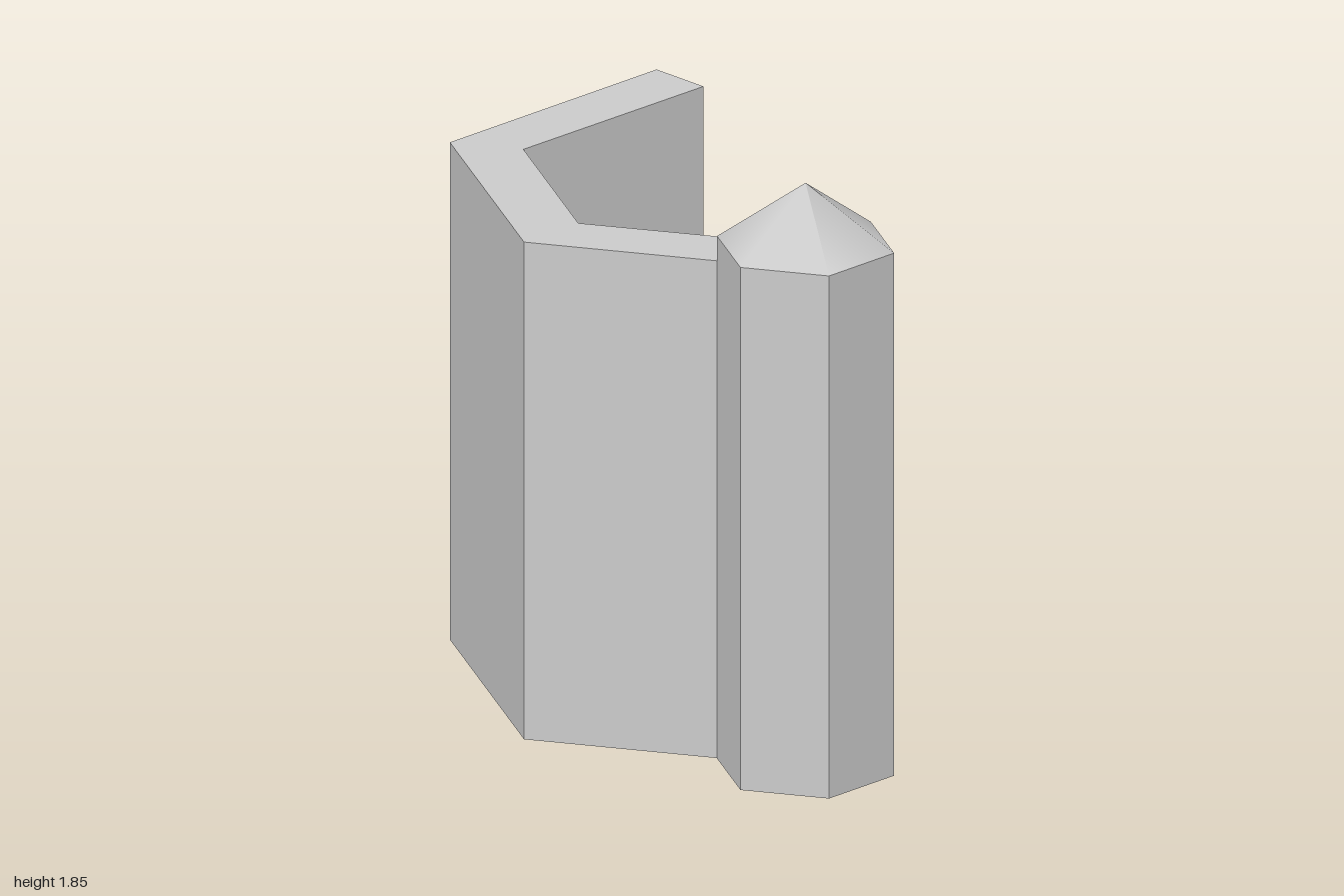
import * as THREE from 'three';

export function createModel() {
  const model = new THREE.Group();
  const material = new THREE.MeshStandardMaterial({ color: 0xcccccc, side: THREE.DoubleSide });
  const flat = new THREE.MeshStandardMaterial({ color: 0xcccccc, side: THREE.DoubleSide, flatShading: true });

  const add = (parent, name, geometry, mat, x = 0, y = 0, z = 0) => {
    const mesh = new THREE.Mesh(geometry, mat);
    mesh.name = name;
    mesh.position.set(x, y, z);
    parent.add(mesh);
  };

  // Bent wall: a shell with a lid and no floor; outline in x, z
  const wallHeight = 1.57, midZ = -0.138;
  const half = [[-0.49, 0.43], [0.255, 0.862], [0.353, 0.69], [-0.295, 0.318]];
  const outline = [
    ...half.map(([x, z]) => [x, midZ + z]),
    ...half.slice().reverse().map(([x, z]) => [x, midZ - z]),
  ];
  const wall = new THREE.Group();
  wall.name = 'wall';
  model.add(wall);

  const sides = [];
  outline.forEach(([ax, az], i) => {
    const [bx, bz] = outline[(i + 1) % outline.length];
    sides.push(ax, 0, az, bx, 0, bz, bx, wallHeight, bz);
    sides.push(ax, 0, az, bx, wallHeight, bz, ax, wallHeight, az);
  });
  const sideGeometry = new THREE.BufferGeometry();
  sideGeometry.setAttribute('position', new THREE.Float32BufferAttribute(sides, 3));
  sideGeometry.computeVertexNormals();
  add(wall, 'wallSides', sideGeometry, flat);

  const lid = new THREE.Shape(outline.map(([x, z]) => new THREE.Vector2(x, -z)));
  add(wall, 'wallTop', new THREE.ShapeGeometry(lid).rotateX(-Math.PI / 2), flat, 0, wallHeight, 0);

  // Hexagonal tower, open below, with a pointed roof
  const radius = 0.271, towerHeight = 1.65, roofHeight = 0.195;
  const tower = new THREE.Group();
  tower.name = 'tower';
  tower.position.set(0.255, 0, 0.728);
  model.add(tower);
  add(tower, 'towerBody', new THREE.CylinderGeometry(radius, radius, towerHeight, 6, 1, true), flat, 0, towerHeight / 2);
  add(tower, 'towerRoof', new THREE.ConeGeometry(radius, roofHeight, 6, 1, true), material, 0, towerHeight + roofHeight / 2);

  return model;
}
